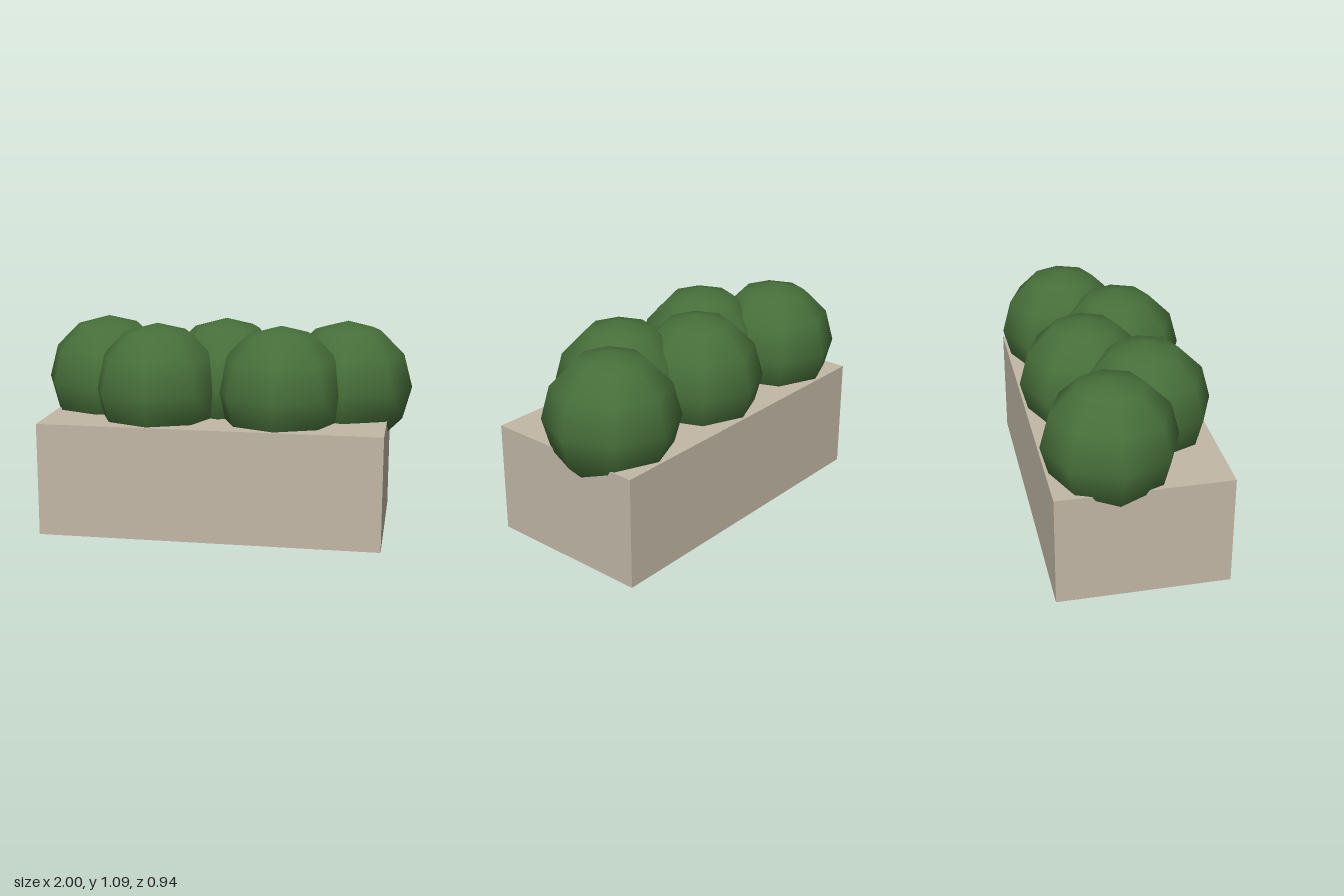
import * as THREE from 'three';

export function createModel() {
  const group = new THREE.Group();
  const stone = new THREE.MeshStandardMaterial({ color: 0xc2b8a6 });
  stone.name = 'beige stone';
  const leaves = new THREE.MeshStandardMaterial({ color: 0x476f3a });
  leaves.name = 'leaf green';

  // Solid rectangular planter
  const planter = new THREE.Mesh(new THREE.BoxGeometry(1.782, 0.595, 0.893), stone);
  planter.name = 'planter';
  planter.position.set(-0.012, 0.2975, -0.001);
  group.add(planter);

  // Two staggered rows of round shrubs, sunk into the planter
  const shrubGeometry = new THREE.SphereGeometry(0.346, 8, 6);
  const rows = [
    { z: -0.124, name: 'backShrub', xs: [-0.654, 0, 0.654] },
    { z: 0.122, name: 'frontShrub', xs: [-0.327, 0.327] },
  ];
  for (const { z, name, xs } of rows) {
    xs.forEach((x, i) => {
      const shrub = new THREE.Mesh(shrubGeometry, leaves);
      shrub.name = name + (i + 1);
      shrub.position.set(x, 0.743, z);
      group.add(shrub);
    });
  }
  return group;
}
